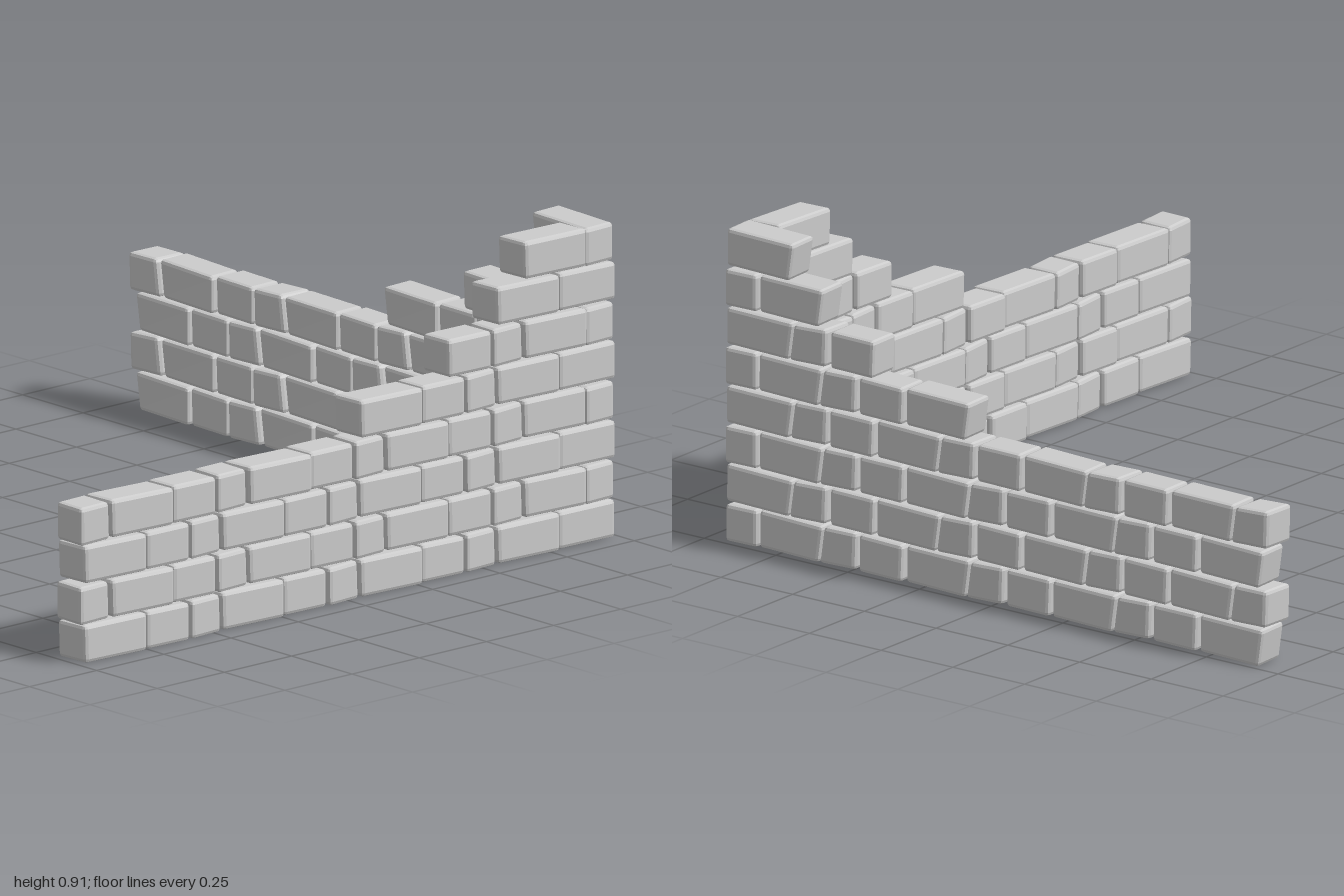
import * as THREE from 'three';
import { RoundedBoxGeometry } from 'three/addons/geometries/RoundedBoxGeometry.js';

const PITCH = 0.114, HEIGHT = 0.109, DEPTH = 0.108;
// bricks per course in each wing, bottom to top: the ruin steps up to the corner
const COUNTS = [10, 11, 10, 11, 4, 3, 1, 1];
// repeating bond: long, short, medium (start and end along one period,
// lean of the near and far ends, twist across the wall)
const PERIOD = 0.512;
const BOND = [
  { name: 'longBrick', a: 0, b: 0.221, near: 0, far: 1, twist: 0.006 },
  { name: 'shortBrick', a: 0.228, b: 0.341, near: 1, far: 0.2, twist: -0.004 },
  { name: 'mediumBrick', a: 0.352, b: 0.506, near: 0, far: 0.3, twist: 0.003 },
];

function seeded(seed) {
  let s = seed;
  return () => ((s = (s * 16807) % 2147483647) / 2147483647) - 0.5;
}

export function createModel() {
  const model = new THREE.Group();
  const stone = new THREE.MeshStandardMaterial({ color: 0xcccccc, flatShading: true });
  const rand = seeded(4711);

  // one chamfered block from a to b along the wing, slightly skewed
  function brick(parent, row, a, b, type, lean) {
    const len = b - a;
    const geo = new RoundedBoxGeometry(len, HEIGHT, DEPTH, 1, 0.011);
    const p = geo.attributes.position;
    const slope = rand() * 0.005, shift = rand() * 0.005;
    for (let i = 0; i < p.count; i++) {
      const u = p.getX(i) / len, v = p.getY(i) / HEIGHT, w = p.getZ(i) / DEPTH;
      const ends = type.near * (0.5 - u) + type.far * (0.5 + u);
      p.setXYZ(i,
        p.getX(i) + 2 * lean * v * ends + 0.006 * w * type.twist / 0.006,
        p.getY(i) + slope * u * (v + 0.5),
        p.getZ(i) + 2 * type.twist * u + shift);
    }
    geo.computeVertexNormals();
    const mesh = new THREE.Mesh(geo, stone);
    mesh.name = type.name;
    mesh.position.set((a + b) / 2, 0.004 + row * PITCH + HEIGHT / 2, 0);
    parent.add(mesh);
  }

  // wing running away from the corner along its local +x
  function wing(name, startEven, startOdd, lean) {
    const group = new THREE.Group();
    group.name = name;
    COUNTS.forEach((count, row) => {
      const start = row % 2 ? startOdd : startEven;
      for (let i = 0; i < count; i++) {
        const type = BOND[i % 3];
        const o = start + Math.floor(i / 3) * PERIOD;
        // the corner block of an odd side course reaches the outer face
        const a = o + type.a - (start === 0.012 && i === 0 ? 0.012 : 0);
        brick(group, row, a, o + type.b, type, lean);
      }
    });
    model.add(group);
    return group;
  }

  const front = wing('frontWall', 0.21, 0.111, 0.002);
  front.rotation.y = Math.PI;
  front.position.set(0.985, 0, 0.884);

  const side = wing('sideWall', 0.114, 0.012, 0.008);
  side.rotation.y = Math.PI / 2;
  side.position.set(0.93, 0, 0.944);

  // even courses turn the corner with a block of the front wall
  const corner = { name: 'cornerBrick', near: 0, far: 0, twist: 0.003 };
  for (let row = 0; row < COUNTS.length; row += 2) brick(front, row, 0, 0.204, corner, 0);

  return model;
}
